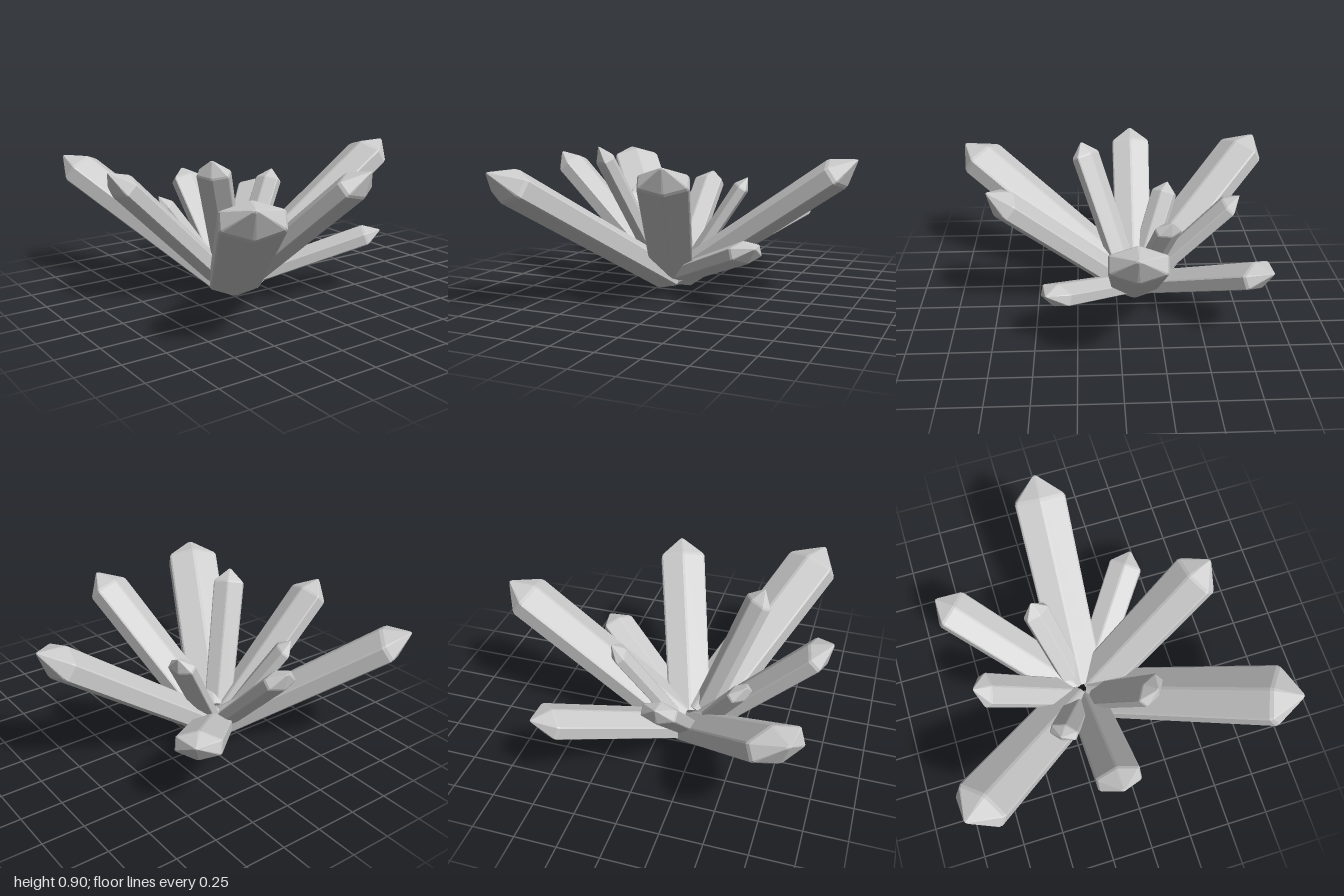
import * as THREE from 'three';

const CORE = new THREE.Vector3(-0.18, 0.08, -0.12); // where all crystals grow from
const BASE_OFFSET = 0.07;
const FLATTEN = 0.56; // crystals are wider than they are thick

// [name, tip x, y, z, width]
const CRYSTALS = [
  ['backLeftLargeCrystal', -0.9, 0.8, -0.98, 0.3],
  ['backRightCrystal', 0.53, 0.5, -0.86, 0.24],
  ['rightLargeCrystal', 0.99, 0.85, -0.07, 0.3],
  ['frontRightCrystal', 0.54, 0.39, 0.42, 0.2],
  ['backCrystal', -0.16, 0.67, -0.77, 0.19],
  ['frontCrystal', 0.14, 0.85, 0.76, 0.27],
  ['frontLeftLargeCrystal', -0.78, 0.81, 0.99, 0.32],
  ['leftCrystal', -0.99, 0.83, -0.13, 0.24],
  ['backLeftSmallCrystal', -0.56, 0.6, -0.36, 0.155],
  ['frontLeftSmallCrystal', -0.53, 0.9, 0.21, 0.18],
  ['backRightSmallCrystal', 0.25, 0.69, -0.31, 0.155],
];

// Six-sided prism with chamfered edges and a blunt pointed tip, along +y
function crystalGeometry(length, width) {
  const r = width / 1.72;
  const tip = width * 0.48;
  const profile = [
    [0, 0], [r * 0.92, 0], [r, length - tip - r * 0.06],
    [r * 0.94, length - tip + r * 0.06], [r * 0.1, length - r * 0.05], [0, length],
  ].map(([x, y]) => new THREE.Vector2(x, y));
  const geo = new THREE.LatheGeometry(profile, 12);
  const pos = geo.attributes.position;
  const n = profile.length;
  // Pair up the twelve columns so each pair forms one narrow chamfer
  for (let i = 0; i < pos.count; i++) {
    const column = Math.floor(i / n) % 12;
    const angle = Math.floor(column / 2) * Math.PI / 3 + (column % 2 ? 0.05 : -0.05);
    const p = profile[i % n];
    pos.setXYZ(i, p.x * Math.sin(angle), p.y, p.x * Math.cos(angle) * FLATTEN);
  }
  const flat = geo.toNonIndexed();
  flat.computeVertexNormals();
  return flat;
}

export function createModel() {
  const group = new THREE.Group();
  group.name = 'crystalCluster';
  const material = new THREE.MeshStandardMaterial({ color: 0xcccccc, flatShading: true });
  const up = new THREE.Vector3(0, 1, 0);

  for (const [name, x, y, z, width] of CRYSTALS) {
    const tip = new THREE.Vector3(x, y, z);
    const outward = tip.clone().sub(CORE).setY(0).normalize();
    const base = CORE.clone().addScaledVector(outward, BASE_OFFSET);
    const axis = tip.clone().sub(base);
    const length = axis.length();
    axis.normalize();

    // Keep the wide direction level
    const side = new THREE.Vector3().crossVectors(axis, up).normalize();
    const thick = new THREE.Vector3().crossVectors(side, axis);
    const mesh = new THREE.Mesh(crystalGeometry(length, width), material);
    mesh.name = name;
    mesh.quaternion.setFromRotationMatrix(new THREE.Matrix4().makeBasis(side, axis, thick));
    mesh.position.copy(base);
    group.add(mesh);
  }
  return group;
}
